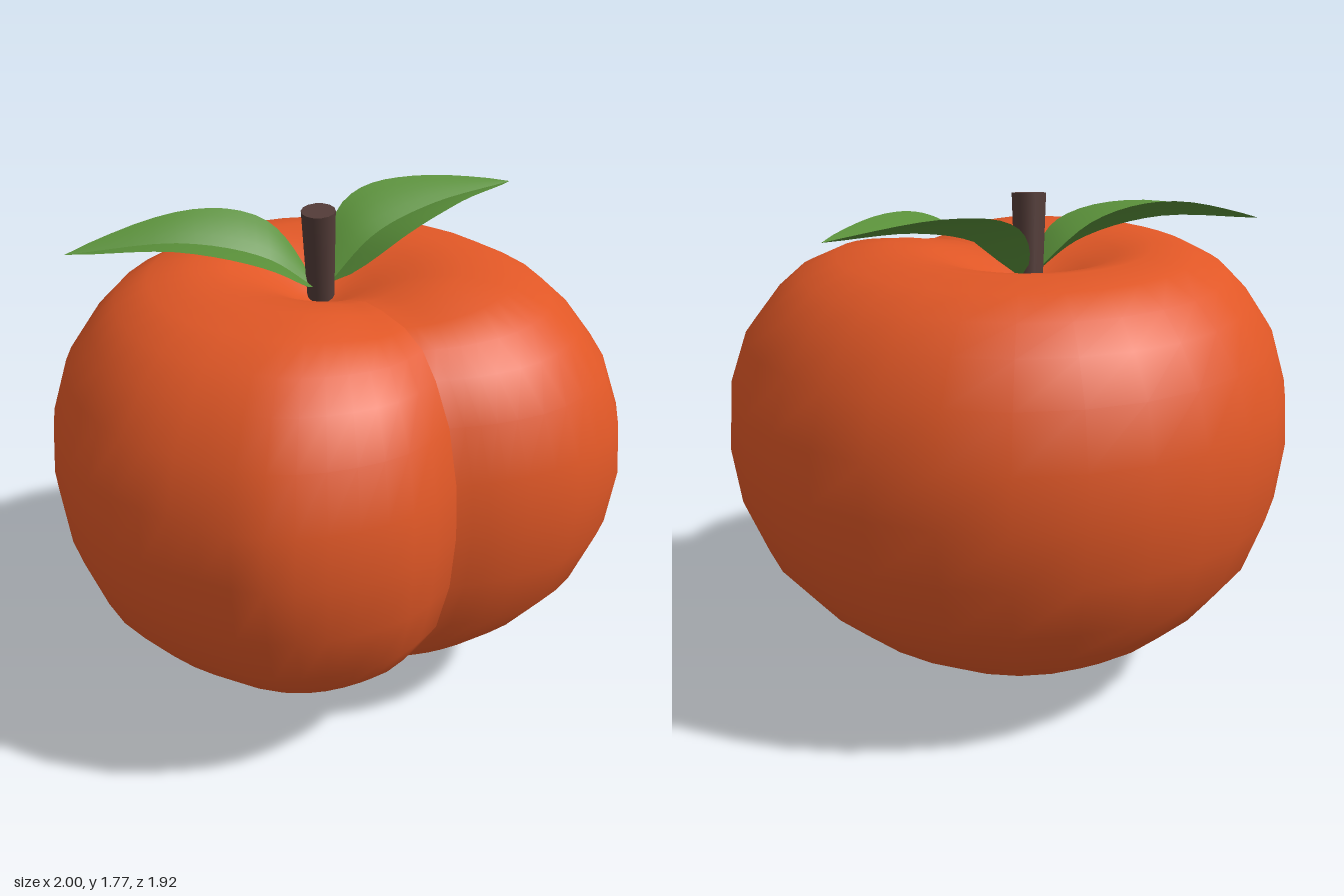
import * as THREE from 'three';

const AXIS_X = -0.04, AXIS_Z = -0.06;
const V = (x, y, z) => new THREE.Vector3(x, y, z);

// Indexed surface from a grid of points, smooth shaded
function gridGeometry(rows, cols, pointAt) {
  const pos = [], idx = [];
  for (let i = 0; i < rows; i++) {
    for (let j = 0; j < cols; j++) {
      pos.push(...pointAt(i, j));
      if (i < rows - 1 && j < cols - 1) {
        const a = i * cols + j, c = a + cols;
        idx.push(a, c, a + 1, a + 1, c, c + 1);
      }
    }
  }
  const g = new THREE.BufferGeometry();
  g.setAttribute('position', new THREE.Float32BufferAttribute(pos, 3));
  g.setIndex(idx);
  g.computeVertexNormals();
  return g;
}

// Fruit: widest outline (x, z), starting and ending in the sharp cleft
const OUTLINE = [
  [0.25, 0.74], [0.09, 0.88], [-0.07, 0.94], [-0.25, 0.96], [-0.42, 0.93], [-0.59, 0.82],
  [-0.74, 0.70], [-0.88, 0.52], [-0.97, 0.27], [-1, 0], [-0.97, -0.21], [-0.9, -0.4],
  [-0.68, -0.71], [-0.35, -0.91], [0.03, -0.97], [0.43, -0.87], [0.76, -0.61], [0.94, -0.29],
  [1, 0.06], [0.92, 0.42], [0.8, 0.57], [0.64, 0.68], [0.46, 0.73], [0.35, 0.74], [0.25, 0.74],
];
// Fruit: outline scale and height, from the bottom tip to the stem dimple
const PROFILE = [
  [0, 0], [0.03, 0.015], [0.1, 0.038], [0.33, 0.08], [0.5, 0.16], [0.65, 0.255], [0.78, 0.37],
  [0.9, 0.52], [0.975, 0.72], [1, 0.92], [0.985, 1.1], [0.925, 1.28], [0.83, 1.41],
  [0.74, 1.495], [0.62, 1.555], [0.46, 1.578], [0.33, 1.555], [0.2, 1.505], [0.09, 1.45], [0, 1.42],
];

function fruitGeometry() {
  const segs = 44;
  const outline = new THREE.CatmullRomCurve3(
    OUTLINE.map(([x, z]) => V(x - AXIS_X, 0, z - AXIS_Z)), false, 'centripetal').getPoints(segs);
  const cleft = outline[0].clone().normalize();
  return gridGeometry(PROFILE.length, segs + 1, (i, j) => {
    const [s, y] = PROFILE[i], p = outline[j];
    const r = p.length(), top = y > 1.2;
    // the dimple grows round towards the stem
    const round = top ? 1 - THREE.MathUtils.smoothstep(s, 0.1, 0.55) : 0;
    const k = s * THREE.MathUtils.lerp(1, 0.95 / r, round);
    // the cleft dips where it runs over the rim
    const angle = p.angleTo(cleft);
    const dip = top ? 0.05 * Math.exp(-((angle / 0.4) ** 2)) * Math.exp(-(((s - 0.5) / 0.22) ** 2)) : 0;
    return [AXIS_X + p.x * k, y - dip, AXIS_Z + p.z * k];
  });
}

// One half of a leaf blade, raised from the midrib to its edge
function leafHalf(rib, side, width, lift) {
  const along = rib.getPoint(1).sub(rib.getPoint(0)).setY(0).normalize();
  const across = V(-along.z, 0, along.x).multiplyScalar(side);
  return gridGeometry(17, 5, (i, j) => {
    const t = i / 16, u = j / 4;
    const w = Math.max(0, Math.sin(Math.PI * t ** 0.78)) ** 0.85;
    const p = rib.getPoint(t).addScaledVector(across, width * w * u);
    p.y += lift * w * (1.3 * u - 0.3 * u * u);
    return p.toArray();
  });
}

export function createModel() {
  const model = new THREE.Group();
  model.name = 'peach';
  const material = (name, color, side = THREE.FrontSide) => {
    const m = new THREE.MeshStandardMaterial({ color, side });
    m.name = name;
    return m;
  };
  const skin = material('orange skin', 0xe05726);
  const green = material('leaf green', 0x5a903a, THREE.DoubleSide);
  const brown = material('stem brown', 0x533c38);
  const add = (name, geometry, mat, parent = model) => {
    const mesh = new THREE.Mesh(geometry, mat);
    mesh.name = name;
    parent.add(mesh);
    return mesh;
  };

  add('fruit', fruitGeometry(), skin);

  // Stem, leaning slightly forward
  const base = V(-0.03, 1.4, -0.1), tip = V(-0.047, 1.757, -0.05);
  const lean = tip.clone().sub(base);
  const stem = add('stem', new THREE.CylinderGeometry(0.059, 0.046, lean.length(), 14), brown);
  stem.position.copy(base).add(tip).multiplyScalar(0.5);
  stem.quaternion.setFromUnitVectors(V(0, 1, 0), lean.normalize());

  // Leaves: midrib points, then [side, width, lift] of each half
  const leaves = [
    ['rightLeaf', [V(-0.06, 1.48, -0.07), V(-0.22, 1.59, -0.08), V(-0.5, 1.655, -0.1), V(-0.895, 1.63, -0.13)],
      [[-1, 0.225, 0.035], [1, 0.155, 0.095]]],
    ['leftLeaf', [V(0, 1.48, -0.1), V(0.17, 1.62, -0.17), V(0.4, 1.69, -0.265), V(0.74, 1.715, -0.41)],
      [[1, 0.2, 0.055], [-1, 0.185, 0.085]]],
  ];
  for (const [name, points, halves] of leaves) {
    const leaf = new THREE.Group();
    leaf.name = name;
    const rib = new THREE.CatmullRomCurve3(points);
    for (const [side, width, lift] of halves) {
      add(lift < 0.06 ? 'frontBlade' : 'backBlade', leafHalf(rib, side, width, lift), green, leaf);
    }
    model.add(leaf);
  }
  return model;
}
